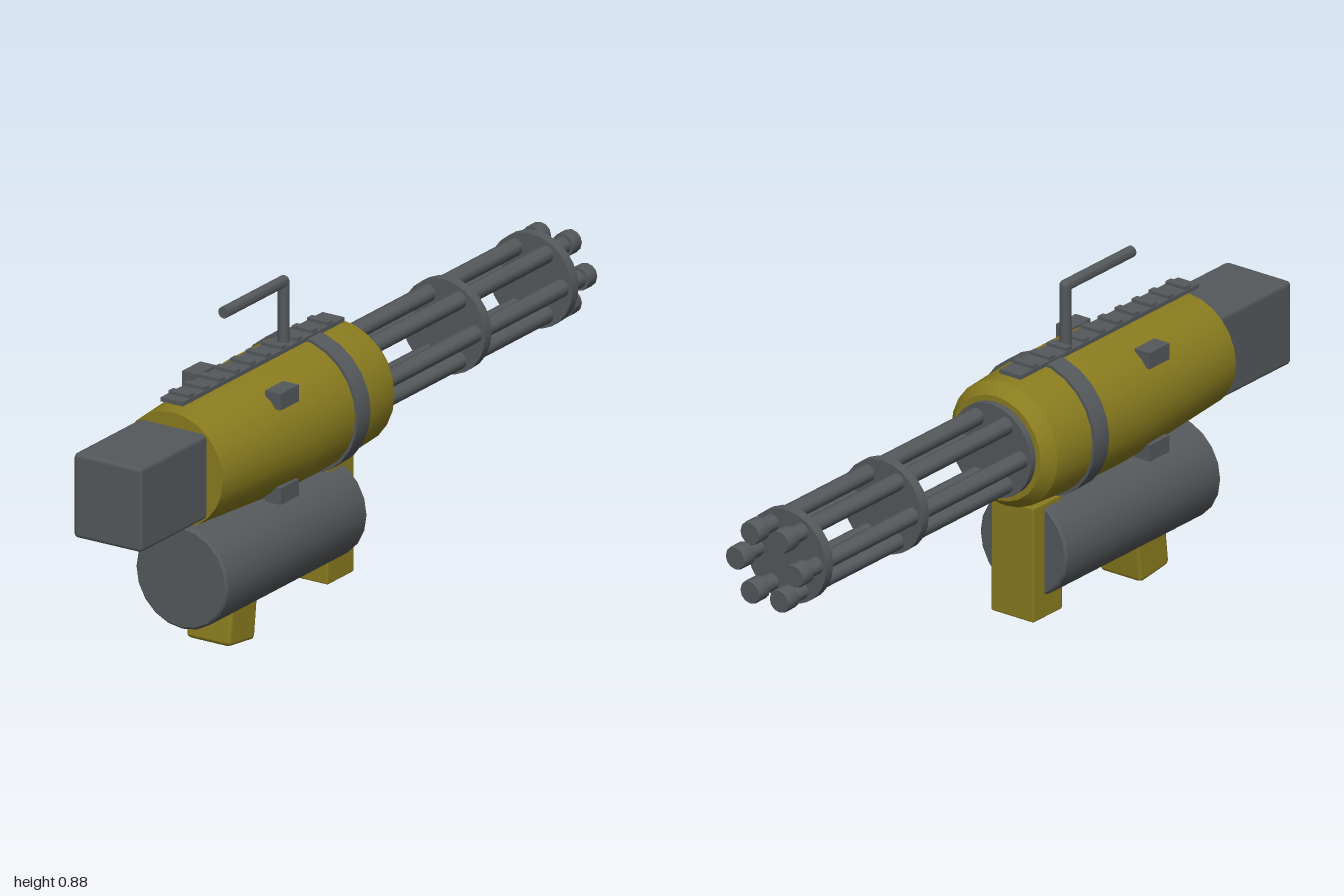
import * as THREE from 'three';
import { toCreasedNormals } from 'three/addons/utils/BufferGeometryUtils.js';
import { RoundedBoxGeometry } from 'three/addons/geometries/RoundedBoxGeometry.js';

const AXIS_Y = 0.527; // height of the barrel axis

export function createModel() {
  const model = new THREE.Group();
  model.name = 'rotaryGun';
  const gunmetal = new THREE.MeshStandardMaterial({ color: 0x55595c });
  gunmetal.name = 'gunmetal';
  const olive = new THREE.MeshStandardMaterial({ color: 0x8a7c1f });
  olive.name = 'oliveYellow';

  function add(name, geometry, material, x, y, z, parent = model) {
    const mesh = new THREE.Mesh(geometry, material);
    mesh.name = name;
    mesh.position.set(x, y, z);
    parent.add(mesh);
    return mesh;
  }
  // Solid of revolution along z, from [radius, z] pairs with z rising
  function turned(profile, sides) {
    const points = profile.map(([r, z]) => new THREE.Vector2(r, z));
    const geometry = new THREE.LatheGeometry(points, sides).rotateX(Math.PI / 2);
    return toCreasedNormals(geometry, 0.55);
  }
  const rod = (r, z0, z1, sides) => turned([[0, z0], [r, z0], [r, z1], [0, z1]], sides);
  const box = (w, h, d) => new THREE.BoxGeometry(w, h, d);

  // Main housing and its clamp band
  add('housing', turned([
    [0, -0.065], [0.14, -0.065], [0.167, -0.03], [0.175, 0.1],
    [0.176, 0.33], [0.151, 0.71], [0, 0.71],
  ], 24), olive, 0, AXIS_Y, 0);
  add('clampBand', rod(0.183, 0.1, 0.157, 24), gunmetal, 0, AXIS_Y, 0);

  // Block at the front end
  add('endBlock', new RoundedBoxGeometry(0.204, 0.225, 0.32, 1, 0.012), gunmetal, 0, AXIS_Y, 0.84);

  // Barrel cluster: six barrels held by three discs
  const cluster = new THREE.Group();
  cluster.name = 'barrelCluster';
  cluster.position.y = AXIS_Y;
  model.add(cluster);
  for (const z of [-0.07, -0.51, -0.897]) {
    add('barrelDisc', rod(0.125, z - 0.014, z + 0.014, 24), gunmetal, 0, 0, 0, cluster);
  }
  const barrel = rod(0.023, -0.99, -0.06, 12);
  const muzzle = turned([[0, -1], [0.029, -1], [0.031, -0.996], [0.031, -0.958], [0, -0.958]], 12);
  for (let i = 0; i < 6; i++) {
    const a = (i * Math.PI) / 3;
    const x = Math.cos(a) * 0.092, y = Math.sin(a) * 0.092;
    add('barrel', barrel, gunmetal, x, y, 0, cluster);
    add('muzzle', muzzle, gunmetal, x, y, 0, cluster);
  }

  // Top rail with cross ribs
  add('rail', box(0.066, 0.011, 0.72), gunmetal, 0, 0.706, 0.352);
  for (let i = 0; i < 10; i++) {
    add('railRib', box(0.062, 0.012, 0.022), gunmetal, 0, 0.714, 0.67 - i * 0.0685);
  }

  // Cranked carry handle
  const post = new THREE.CylinderGeometry(0.015, 0.015, 0.165, 12);
  add('handlePost', post, gunmetal, 0, 0.7875, 0.215);
  add('handleBar', rod(0.015, 0.215, 0.483, 12), gunmetal, 0, 0.87, 0);
  add('handleElbow', new THREE.SphereGeometry(0.015, 12, 8), gunmetal, 0, 0.87, 0.215);

  // Four side lugs
  for (const sx of [-1, 1]) {
    for (const sy of [-1, 1]) {
      add('sideLug', box(0.047, 0.044, 0.08), gunmetal, sx * 0.1235, AXIS_Y + sy * 0.125, 0.406);
    }
  }

  // Drum underneath
  add('drum', turned([
    [0, 0.044], [0.131, 0.044], [0.137, 0.05], [0.137, 0.664], [0.131, 0.67], [0, 0.67],
  ], 20), gunmetal, 0, 0.2275, 0);

  // Supports: upright bracket at the back and a tilted foot
  add('rearBracket', new RoundedBoxGeometry(0.134, 0.31, 0.118, 1, 0.005), olive, 0, 0.203, 0.059);
  const foot = add('foot', new RoundedBoxGeometry(0.132, 0.14, 0.118, 1, 0.012), olive, 0, 0.081, 0.487);
  foot.rotation.x = -0.12;

  return model;
}
